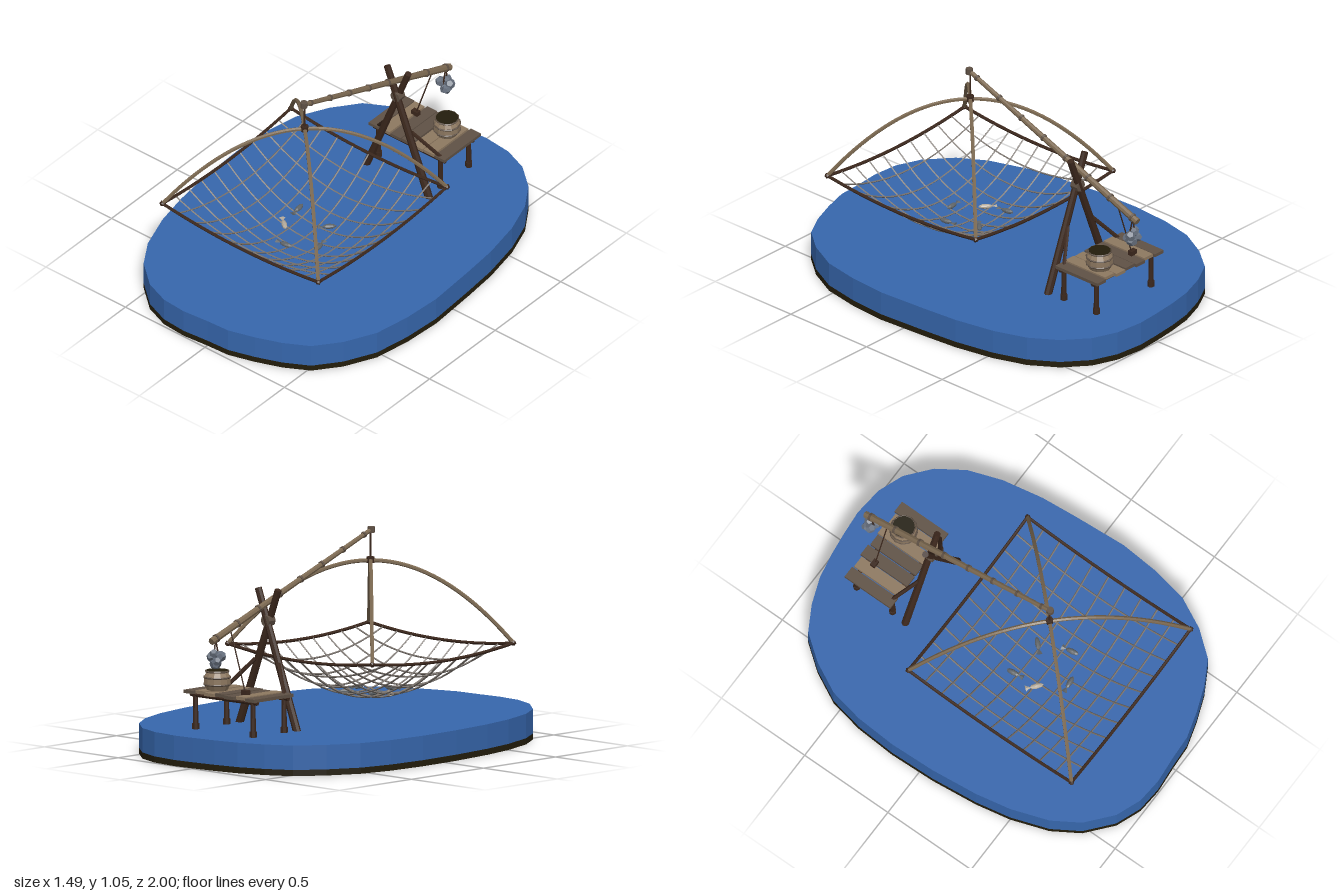
import * as THREE from 'three';

const V = (x, y, z) => new THREE.Vector3(x, y, z);
const mat = (name, color) => {
  const m = new THREE.MeshStandardMaterial({ color, flatShading: true });
  m.name = name;
  return m;
};

export function createModel() {
  const water = mat('water blue', 0x3666ac);
  const mud = mat('dark mud', 0x231d0c);
  const timber = mat('dark timber', 0x3b271c);
  const plankDark = mat('weathered plank', 0x5f5145);
  const plankLight = mat('pale plank', 0x8d7860);
  const bamboo = mat('bamboo', 0x7b6850);
  const cord = mat('net cord', 0x77706a);
  const stone = mat('stone', 0x68717f);
  const fishGrey = mat('fish grey', 0x5f6468);
  const fishPale = mat('fish pale', 0xb3a99a);

  const model = new THREE.Group();
  const group = (name, parent = model) => {
    const g = new THREE.Group();
    g.name = name;
    parent.add(g);
    return g;
  };
  const add = (parent, name, geo, m, pos) => {
    const mesh = new THREE.Mesh(geo, m);
    mesh.name = name;
    if (pos) mesh.position.copy(pos);
    parent.add(mesh);
    return mesh;
  };
  // Straight round bar from a to b
  const rod = (parent, name, a, b, ra, rb, m, sides = 7) => {
    const d = b.clone().sub(a);
    const mesh = add(parent, name, new THREE.CylinderGeometry(rb, ra, d.length(), sides), m,
      a.clone().add(b).multiplyScalar(0.5));
    mesh.quaternion.setFromUnitVectors(V(0, 1, 0), d.normalize());
    return mesh;
  };

  // Water slab on a thin mud layer, outline as x, z pairs
  const outline = [
    0.12, -1, 0.27, -0.985, 0.4, -0.935, 0.52, -0.835, 0.61, -0.7, 0.67, -0.53, 0.71, -0.32, 0.727, -0.13,
    0.745, 0.14, 0.73, 0.34, 0.695, 0.53, 0.615, 0.69, 0.515, 0.815, 0.39, 0.885, 0.26, 0.935, 0.125, 0.975,
    0, 0.982, -0.14, 0.995, -0.27, 0.985, -0.4, 0.935, -0.53, 0.825, -0.615, 0.69, -0.68, 0.5, -0.715, 0.32,
    -0.74, 0.08, -0.748, -0.16, -0.735, -0.37, -0.7, -0.545, -0.62, -0.7, -0.52, -0.83, -0.395, -0.9,
    -0.26, -0.95, -0.13, -0.975, 0, -0.99];
  const pts = [];
  for (let i = 0; i < outline.length; i += 2) pts.push(new THREE.Vector2(outline[i], -outline[i + 1]));
  const slab = (name, y, h, m) => {
    const geo = new THREE.ExtrudeGeometry(new THREE.Shape(pts), { depth: h, bevelEnabled: false });
    add(model, name, geo.rotateX(-Math.PI / 2), m, V(0, y, 0));
  };
  slab('mudLayer', 0, 0.03, mud);
  slab('waterSlab', 0.03, 0.12, water);

  // Sagging square net: u and v run from -1 to 1
  const NZ = 0.24, HALF = 0.49;
  const netPoint = (u, v) => {
    const a = 1 - u * u, b = 1 - v * v;
    return V(u * HALF, 0.48 - 0.035 * (a + b) - 0.19 * a * b, NZ + v * HALF);
  };
  const tube = (parent, name, fn, r, m, sides = 4, seg = 18) => {
    const p = [];
    for (let i = 0; i <= 10; i++) p.push(fn(i / 10));
    add(parent, name, new THREE.TubeGeometry(new THREE.CatmullRomCurve3(p), seg, r, sides), m);
  };
  const net = group('net');
  for (let i = -5; i <= 5; i++) {
    const k = i / 5, edge = Math.abs(i) === 5;
    const name = edge ? 'netRim' : 'netCord', r = edge ? 0.008 : 0.0045, m = edge ? timber : cord;
    tube(net, name, t => netPoint(k, 2 * t - 1), r, m, edge ? 6 : 4);
    tube(net, name, t => netPoint(2 * t - 1, k), r, m, edge ? 6 : 4);
  }

  // Four bent spreader poles meeting at a knot
  const spreaders = group('spreaders');
  for (const sx of [-1, 1]) for (const sz of [-1, 1]) {
    tube(spreaders, 'spreaderPole', t => V(sx * HALF * t, 0.888 - 0.408 * t * t, NZ + sz * HALF * t), 0.01, bamboo, 6);
    add(spreaders, 'cornerKnot', new THREE.IcosahedronGeometry(0.015, 0), timber, V(sx * HALF, 0.48, NZ + sz * HALF));
  }
  add(spreaders, 'spreaderKnot', new THREE.CylinderGeometry(0.019, 0.019, 0.03, 8), timber, V(0, 0.89, NZ));
  rod(spreaders, 'hangingRope', V(0, 0.89, NZ), V(0, 1.03, NZ), 0.005, 0.005, timber, 5);

  // Tapered bamboo lever with node rings
  const lever = group('lever');
  const tip = V(0, 1.038, 0.245), butt = V(0, 0.608, -0.865);
  const along = t => butt.clone().lerp(tip, t);
  rod(lever, 'leverPole', butt, tip, 0.018, 0.011, bamboo, 8);
  for (let i = 0; i < 8; i++) {
    const t = 0.03 + i * 0.132, r = 0.022 - 0.007 * t;
    rod(lever, 'leverNode', along(t - 0.005), along(t + 0.005), r, r, plankDark, 8);
  }
  add(lever, 'tipKnot', new THREE.CylinderGeometry(0.018, 0.018, 0.03, 8), plankDark, tip);

  // Crossed trestle with lashing and braces to the deck
  const trestle = group('trestle');
  for (const s of [-1, 1]) {
    const z = -0.47 + s * 0.008;
    rod(trestle, 'trestleLeg', V(s * 0.205, 0.14, z), V(-s * 0.06, 0.825, z), 0.02, 0.017, timber, 8);
    rod(trestle, 'brace', V(s * 0.08, 0.475, -0.48), V(s * 0.195, 0.335, -0.56), 0.01, 0.01, timber, 6);
  }
  add(trestle, 'lashing', new THREE.CylinderGeometry(0.029, 0.029, 0.045, 8), plankDark, V(0, 0.67, -0.47))
    .rotation.x = Math.PI / 2;

  // Deck of planks on four posts
  const deck = group('deck');
  const zBack = [-0.815, -0.808, -0.82, -0.812, -0.818, -0.806, -0.818];
  const light = [0, 1, 0, 0, 1, 1, 0];
  for (let i = 0; i < 7; i++) {
    const len = -0.54 - zBack[i];
    add(deck, 'plank', new THREE.BoxGeometry(0.062, 0.016, len), light[i] ? plankLight : plankDark,
      V(-0.21 + i * 0.069, 0.335 + (i % 2) * 0.003, zBack[i] + len / 2));
  }
  for (const z of [-0.56, -0.775]) {
    rod(deck, 'deckBeam', V(-0.225, 0.318, z), V(0.225, 0.318, z), 0.011, 0.011, timber, 6);
    for (const x of [-0.195, 0.195]) {
      rod(deck, 'deckPost', V(x, 0.14, z), V(x, 0.33, z), 0.014, 0.012, timber, 7);
      rod(deck, 'postFoot', V(x, 0.14, z), V(x, 0.178, z), 0.018, 0.018, timber, 7);
    }
  }

  // Catch basket with a dark mouth
  const basket = group('basket');
  basket.position.set(0.107, 0.343, -0.715);
  const profile = [[0, 0], [0.05, 0], [0.066, 0.03], [0.066, 0.065], [0.052, 0.09]].map(p => new THREE.Vector2(...p));
  add(basket, 'basketBody', new THREE.LatheGeometry(profile, 12), plankLight);
  add(basket, 'basketMouth', new THREE.CylinderGeometry(0.055, 0.055, 0.006, 12), mud, V(0, 0.096, 0));
  for (const [y, r] of [[0.03, 0.065], [0.065, 0.065], [0.094, 0.056]])
    add(basket, 'basketHoop', new THREE.TorusGeometry(r, 0.005, 5, 12).rotateX(Math.PI / 2), plankDark, V(0, y, 0));

  // Pull rope tied to a cleat on the deck
  const pull = group('pullRope');
  rod(pull, 'rope', V(0, 0.655, -0.733), V(-0.1, 0.36, -0.733), 0.0035, 0.0035, timber, 5);
  add(pull, 'cleat', new THREE.BoxGeometry(0.038, 0.025, 0.026), timber, V(-0.105, 0.355, -0.735));

  // Stone counterweight hung from the lever butt
  const weight = group('counterweight');
  for (const dz of [-0.018, 0.018])
    rod(weight, 'weightRope', V(0, 0.615, -0.835), V(0, 0.53, -0.833 + dz), 0.004, 0.004, timber, 5);
  [[-0.022, 0.535, -0.822, 0.027], [0.022, 0.53, -0.84, 0.027], [0, 0.548, -0.846, 0.023],
    [0.004, 0.497, -0.832, 0.03], [-0.02, 0.512, -0.848, 0.023], [0.02, 0.51, -0.816, 0.023]]
    .forEach(([x, y, z, r], i) => {
      add(weight, 'stone', new THREE.DodecahedronGeometry(r, 0), stone, V(x, y, z)).rotation.set(i, i * 2, 0);
    });

  // Fish lying in the net: x, z, heading
  [[-0.135, 0.12, 1.7], [0.06, 0.125, 0.8], [-0.12, 0.25, -0.7], [0.125, 0.285, -1.4], [-0.01, 0.37, 0.1]]
    .forEach(([x, z, turn], i) => {
      const m = i === 2 ? fishPale : fishGrey;
      const fish = group('fish');
      fish.position.copy(netPoint(x / HALF, (z - NZ) / HALF)).add(V(0, 0.014, 0));
      fish.rotation.y = turn;
      add(fish, 'fishBody', new THREE.SphereGeometry(1, 8, 5).scale(0.036, 0.012, 0.014), m);
      add(fish, 'fishTail', new THREE.ConeGeometry(0.016, 0.028, 4).rotateZ(-Math.PI / 2).scale(1, 0.4, 1), m,
        V(-0.042, 0, 0));
    });

  return model;
}
